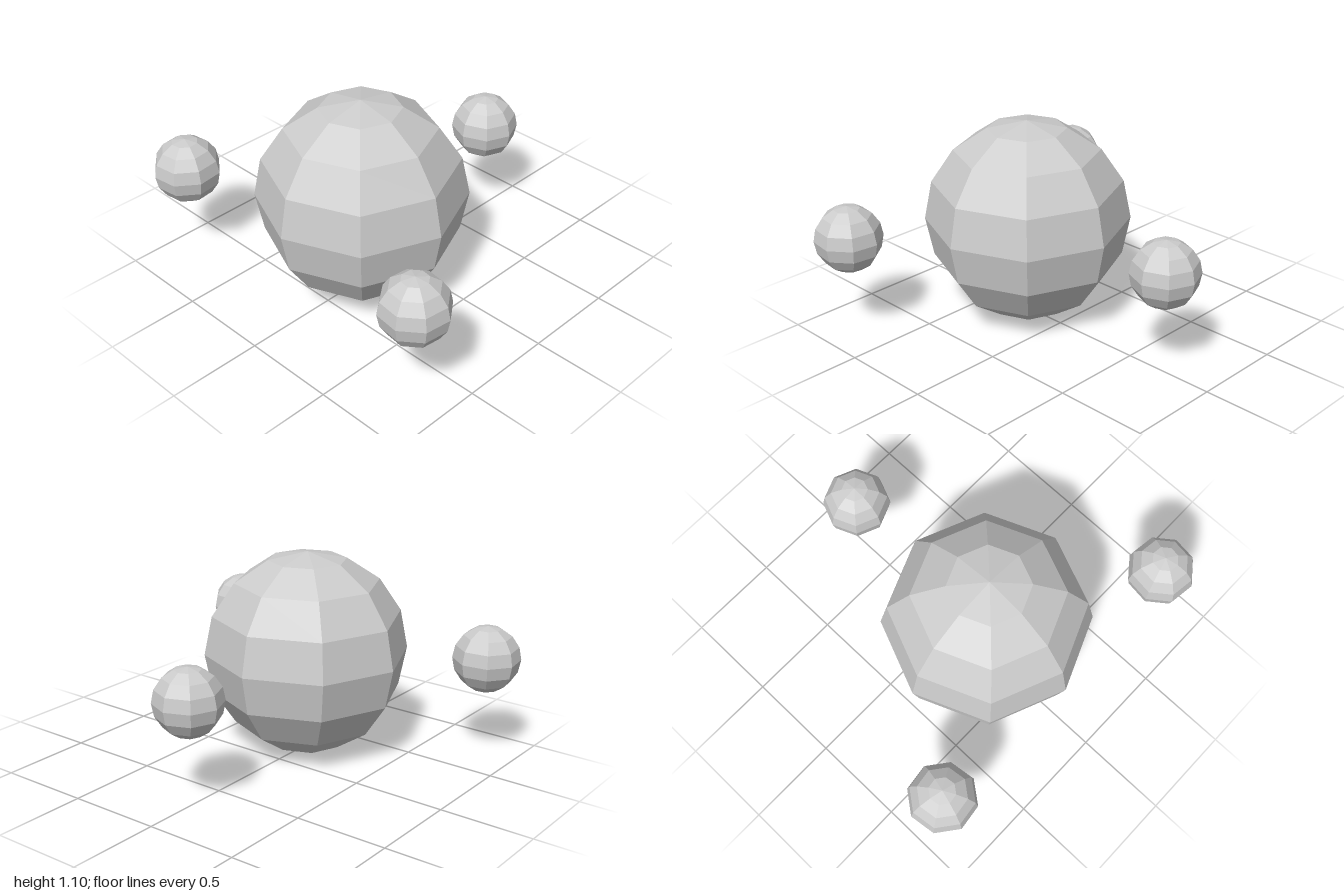
import * as THREE from 'three';

const CORE_RADIUS = 0.549;
const BALL_RADIUS = 0.18;
const ORBIT = 0.953;
const BALL_COUNT = 3;

export function createModel() {
  const model = new THREE.Group();
  const material = new THREE.MeshStandardMaterial({ color: 0xcccccc, flatShading: true });

  const addBall = (name, radius, parent) => {
    const mesh = new THREE.Mesh(new THREE.SphereGeometry(radius, 8, 8), material);
    mesh.name = name;
    parent.add(mesh);
    return mesh;
  };

  // Everything is arranged around the centre of the large ball
  const cluster = new THREE.Group();
  cluster.name = 'cluster';
  cluster.position.set(0, CORE_RADIUS, 0.241);
  model.add(cluster);

  // Large central ball
  addBall('centralBall', CORE_RADIUS, cluster);

  // Three small balls in a ring, each turned along with its arm
  const names = ['backBall', 'leftBall', 'rightBall'];
  for (let i = 0; i < BALL_COUNT; i++) {
    const arm = new THREE.Group();
    arm.name = names[i] + 'Arm';
    arm.rotation.y = (-i * Math.PI * 2) / BALL_COUNT;
    addBall(names[i], BALL_RADIUS, arm).position.z = -ORBIT;
    cluster.add(arm);
  }

  return model;
}
